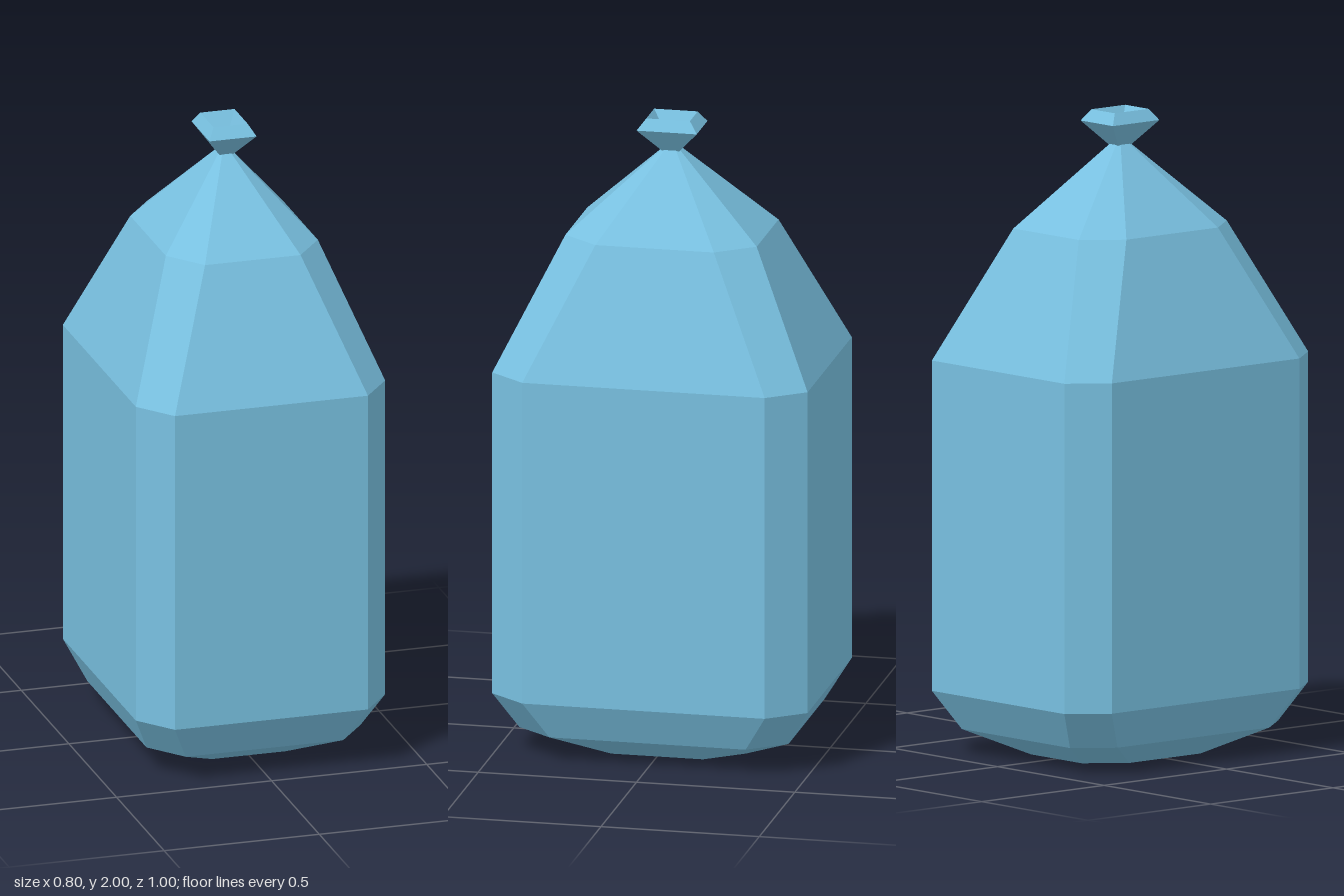
import * as THREE from 'three';

// Rectangle with half sizes hx, hz; corners cut by cx, cz when given.
// Runs from the front around through +x.
function ring(y, hx, hz, cx = 0, cz = 0) {
  const quarter = [[hx - cx, hz], [hx, hz - cz]];
  const pts = [];
  for (const [sx, sz] of [[1, 1], [1, -1], [-1, -1], [-1, 1]]) {
    const corner = cx ? quarter : [[hx, hz]];
    const ordered = sx * sz > 0 ? corner : [...corner].reverse();
    for (const [x, z] of ordered) pts.push(new THREE.Vector3(x * sx, y, z * sz));
  }
  return pts;
}

// Joins successive rings with flat faces, skipping collapsed triangles.
function loft(rings) {
  const points = [];
  const tri = (a, b, c) => {
    if (a.equals(b) || b.equals(c) || c.equals(a)) return;
    points.push(a, b, c);
  };
  for (let r = 0; r < rings.length - 1; r++) {
    const lo = rings[r], hi = rings[r + 1], n = lo.length;
    for (let i = 0; i < n; i++) {
      const j = (i + 1) % n;
      tri(lo[i], lo[j], hi[j]);
      tri(lo[i], hi[j], hi[i]);
    }
  }
  const geometry = new THREE.BufferGeometry().setFromPoints(points);
  geometry.computeVertexNormals();
  return geometry;
}

const tip = (y, n) => Array.from({ length: n }, () => new THREE.Vector3(0, y, 0));

export function createModel() {
  const group = new THREE.Group();
  group.name = 'tiedBag';
  const material = new THREE.MeshStandardMaterial({
    color: 0x78c0e0, flatShading: true, side: THREE.DoubleSide,
  });

  // Filled bag: rounded bottom, straight sides, shoulders gathered to a point
  const profile = [
    [0, 0.21, 0.26],
    [0.08, 0.345, 0.425],
    [0.2, 0.402, 0.498],
    [1.23, 0.402, 0.498],
    [1.64, 0.245, 0.302],
  ];
  const bagRings = profile.map(([y, hx, hz]) => ring(y, hx, hz, 0.091, 0.115));
  const bag = new THREE.Mesh(loft([tip(0, 8), ...bagRings, tip(1.92, 8)]), material);
  bag.name = 'bagBody';
  group.add(bag);

  // Gathered end: flares out above the tie, with a hollow funnel on top
  const gather = new THREE.Mesh(loft([
    tip(1.86, 4),
    ring(1.965, 0.076, 0.095),
    ring(2, 0.055, 0.069),
    tip(1.9, 4),
  ]), material);
  gather.name = 'gatheredEnd';
  group.add(gather);

  return group;
}
